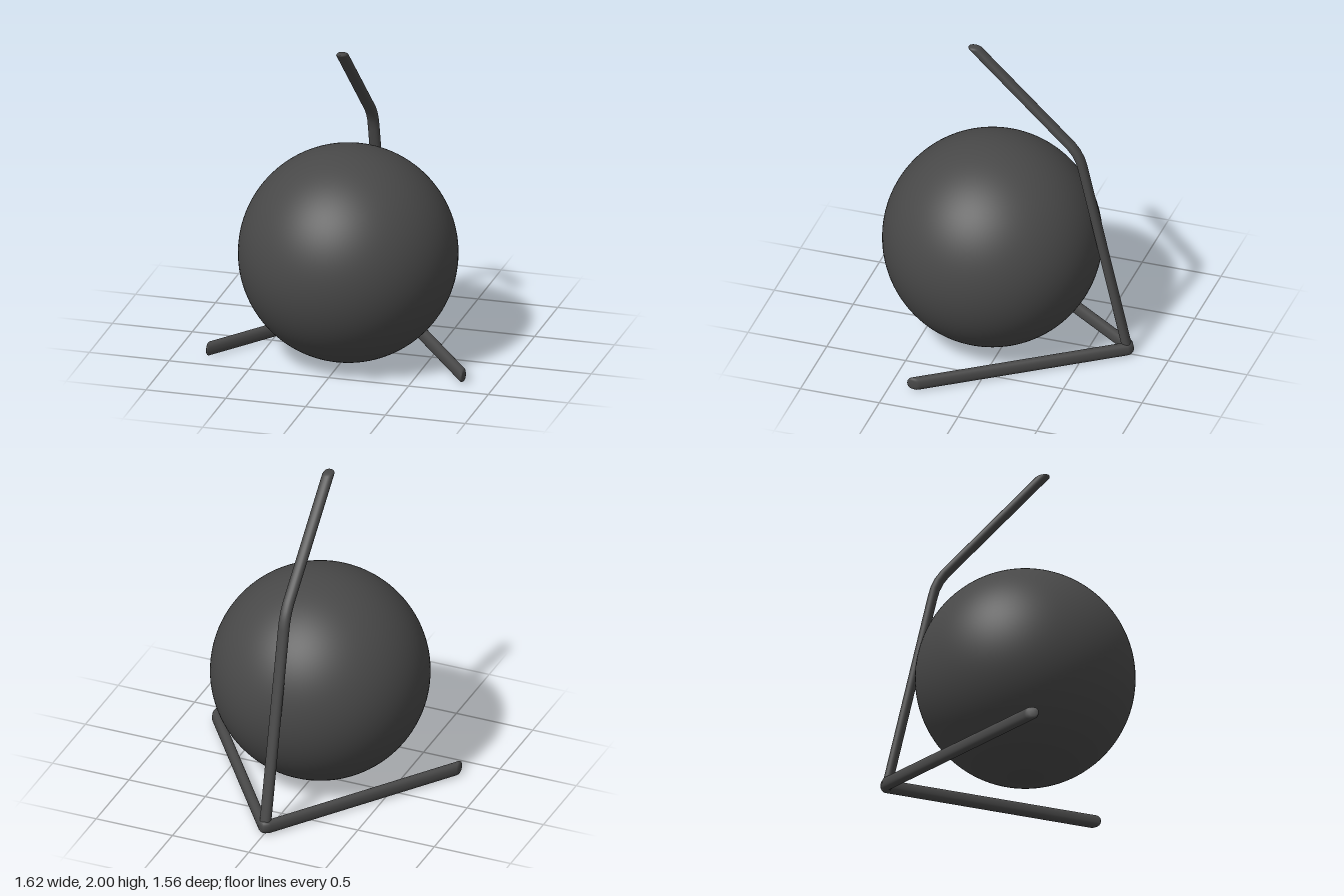
import * as THREE from 'three';

const material = new THREE.MeshStandardMaterial({ color: 0x484848 });
const V = (x, y, z) => new THREE.Vector3(x, y, z);

// Sweeps a rounded bar along a planar path with mitred bends and softened ends.
// across: constant axis of the section; cuts: plane normals of the two ends.
function bar(name, path, across, halfThick, halfWide, cuts) {
  const sides = 24, soft = [[0, 0.6], [0.006, 0.84], [0.018, 1]];
  const last = path.length - 1;
  const dir = path.slice(1).map((p, i) => p.clone().sub(path[i]).normalize());
  const rings = [];
  for (const [d, s] of soft) rings.push([path[0].clone().addScaledVector(dir[0], d), dir[0], cuts[0], s]);
  for (let i = 1; i < last; i++) rings.push([path[i], dir[i], dir[i - 1].clone().add(dir[i]).normalize(), 1]);
  for (const [d, s] of soft.slice().reverse()) {
    rings.push([path[last].clone().addScaledVector(dir[last - 1], -d), dir[last - 1], cuts[1], s]);
  }

  const pos = [], index = [];
  const round = (c) => Math.sign(c) * Math.pow(Math.abs(c), 0.85);
  for (const [centre, t, n, s] of rings) {
    const u = across.clone().cross(t).normalize();
    for (let j = 0; j < sides; j++) {
      const a = (j / sides) * Math.PI * 2;
      const o = u.clone().multiplyScalar(round(Math.cos(a)) * halfThick * s)
        .addScaledVector(across, round(Math.sin(a)) * halfWide * s);
      o.addScaledVector(t, -o.dot(n) / t.dot(n)).add(centre);
      pos.push(o.x, o.y, o.z);
    }
  }
  const startCap = pos.length / 3, top = (rings.length - 1) * sides;
  pos.push(...path[0].toArray(), ...path[last].toArray());
  for (let j = 0; j < sides; j++) {
    const k = (j + 1) % sides;
    for (let i = 0; i < top; i += sides) {
      index.push(i + j, i + k, i + sides + k, i + j, i + sides + k, i + sides + j);
    }
    index.push(startCap, k, j, startCap + 1, top + j, top + k);
  }
  const geometry = new THREE.BufferGeometry();
  geometry.setAttribute('position', new THREE.Float32BufferAttribute(pos, 3));
  geometry.setIndex(index);
  geometry.computeVertexNormals();
  const mesh = new THREE.Mesh(geometry, material);
  mesh.name = name;
  return mesh;
}

export function createModel() {
  const group = new THREE.Group();
  group.name = 'ballOnStand';

  // Large ball resting between the legs
  const ball = new THREE.Mesh(new THREE.SphereGeometry(0.664, 96, 64), material);
  ball.name = 'ball';
  ball.position.set(0.01, 0.669, 0.113);
  group.add(ball);

  // V-shaped foot, open to the front
  const y = 0.049;
  group.add(bar('foot', [
    V(-0.805, y, 0.36), V(-0.022, y, -0.737), V(0, y, -0.748), V(0.022, y, -0.737), V(0.805, y, 0.36),
  ], V(0, 1, 0), 0.03, 0.041, [V(1, 0, -0.15).normalize(), V(1, 0, 0.15).normalize()]));

  // Leaning upright that bends forward over the ball
  group.add(bar('upright', [
    V(0.004, 0.01, -0.747), V(0.004, 0.06, -0.739), V(0.004, 1.265, -0.46), V(0.004, 1.32, -0.444),
    V(0.004, 1.37, -0.419), V(0.004, 1.415, -0.383), V(0.004, 2, 0.235),
  ], V(1, 0, 0), 0.028, 0.035, [V(0, 1, 0), V(0, 1, 0)]));

  return group;
}
